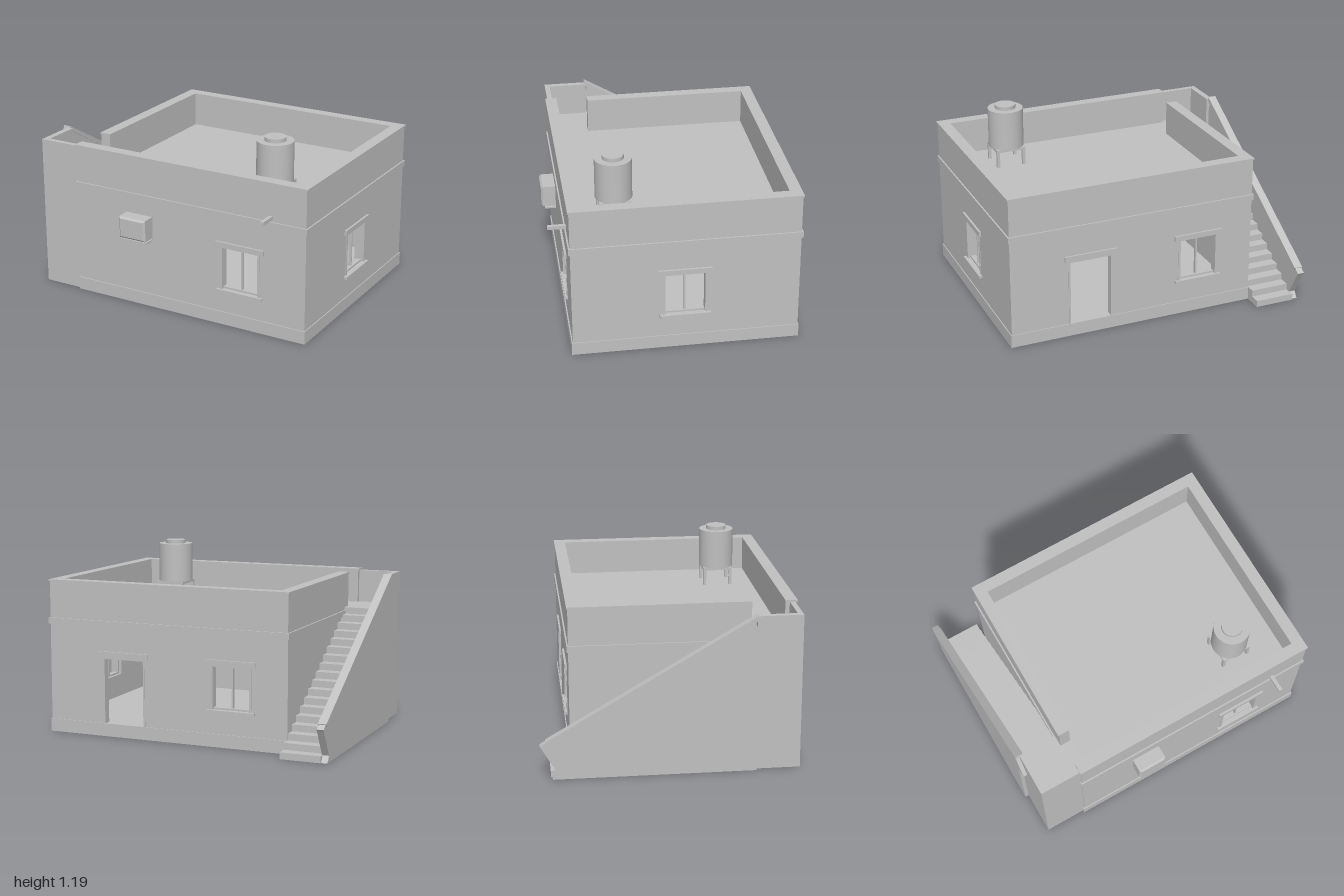
import * as THREE from 'three';

const plaster = new THREE.MeshStandardMaterial({ color: 0xc0c0c0 });
plaster.name = 'plaster';

export function createModel() {
  const model = new THREE.Group();
  model.name = 'flatRoofHouse';

  const add = (name, geometry, parent = model) => {
    const mesh = new THREE.Mesh(geometry, plaster);
    mesh.name = name;
    parent.add(mesh);
    return mesh;
  };
  // Box given by its limits on each axis
  const box = (name, x0, x1, y0, y1, z0, z1, parent) => {
    const mesh = add(name, new THREE.BoxGeometry(x1 - x0, y1 - y0, z1 - z0), parent);
    mesh.position.set((x0 + x1) / 2, (y0 + y1) / 2, (z0 + z1) / 2);
    return mesh;
  };
  const toShape = (points, holes = []) => {
    const shape = new THREE.Shape(points.map(p => new THREE.Vector2(...p)));
    for (const [a0, a1, b0, b1] of holes) {
      shape.holes.push(new THREE.Path([[a0, b0], [a0, b1], [a1, b1], [a1, b0]].map(p => new THREE.Vector2(...p))));
    }
    return shape;
  };
  // Wall outlined in (x, y), thick along z
  const wallXY = (name, points, z0, z1, holes) => {
    const g = new THREE.ExtrudeGeometry(toShape(points, holes), { depth: z1 - z0, bevelEnabled: false });
    return add(name, g.translate(0, 0, z0));
  };
  // Wall outlined in (z, y), thick along x
  const wallZY = (name, points, x0, x1, holes) => {
    const g = new THREE.ExtrudeGeometry(toShape(points, holes), { depth: x1 - x0, bevelEnabled: false });
    return add(name, g.rotateY(-Math.PI / 2).translate(x1, 0, 0));
  };
  const rect = (a0, a1, b0, b1) => [[a0, b0], [a1, b0], [a1, b1], [a0, b1]];

  // Main walls, carried up as the roof parapet
  const X0 = -0.69, X1 = 0.975, Z0 = -0.675, Z1 = 0.76, T = 0.07, ROOF = 0.78;
  wallXY('frontWall', rect(X0, X1, 0, 1), Z1 - T, Z1, [[0.38, 0.66, 0.24, 0.52]]);
  wallXY('backWall', rect(X0, X1, 0, 1), Z0, Z0 + T, [[-0.45, -0.17, 0.24, 0.52], [0.29, 0.59, 0.085, 0.52]]);
  wallZY('leftWall', rect(Z0 + T, Z1 - T, 0, 1), X1 - T, X1, [[-0.09, 0.19, 0.24, 0.52]]);
  wallZY('rightWall', [[Z0 + T, 0], [Z1 - T, 0], [Z1 - T, ROOF], [0.48, ROOF], [0.48, 1], [Z0 + T, 1]], X0, X0 + T);

  // Floor with plinth, roof slab and string course
  box('plinth', X0 - 0.008, X1 + 0.006, 0, 0.085, Z0 - 0.006, Z1 + 0.008);
  box('stringCourse', X0 - 0.01, X1 + 0.01, 0.72, 0.76, Z0 - 0.01, Z1 + 0.01);
  box('roofDeck', X0 + 0.03, X1 - 0.03, 0.76, ROOF, Z0 + 0.03, Z1 - 0.03);

  // Thin coping on the parapet, open at the landing
  const O = 0.007;
  box('frontCoping', X0 - O, X1 + O, 1, 1.012, Z1 - T - 0.001, Z1 + O);
  box('backCoping', X0 - O, X1 + O, 1, 1.012, Z0 - O, Z0 + T + 0.001);
  box('leftCoping', X1 - T - 0.001, X1 + O, 1, 1.012, Z0 + T, Z1 - T);
  box('rightCoping', X0 - O, X0 + T + 0.001, 1, 1.012, Z0 + T, 0.48);

  // Window unit, facing +z with its sill line at y = 0.24
  const addWindow = (name, x, z, turn, sillDepth) => {
    const g = new THREE.Group();
    g.name = name;
    box('lintel', -0.17, 0.17, 0.525, 0.56, -0.02, 0.014, g);
    box('sill', -0.162, 0.162, 0.223, 0.24, -0.05, sillDepth, g);
    for (const s of [-1, 1]) {
      box('jamb', s * 0.133 - 0.008, s * 0.133 + 0.008, 0.24, 0.525, -0.05, 0.004, g);
    }
    box('headRail', -0.13, 0.13, 0.51, 0.525, -0.05, -0.015, g);
    box('bottomRail', -0.13, 0.13, 0.24, 0.252, -0.05, -0.015, g);
    box('mullion', -0.005, 0.005, 0.25, 0.512, -0.045, -0.025, g);
    g.position.set(x, 0, z);
    g.rotation.y = turn;
    model.add(g);
  };
  addWindow('frontWindow', 0.52, Z1, 0, 0.018);
  addWindow('leftWindow', X1, 0.05, Math.PI / 2, 0.022);
  addWindow('backWindow', -0.31, Z0, Math.PI, 0.018);

  // Open doorway at the back
  box('doorLintel', 0.265, 0.615, 0.525, 0.56, Z0 - 0.012, Z0 + 0.02);
  for (const x of [0.29, 0.578]) box('doorJamb', x, x + 0.012, 0.085, 0.525, Z0 - 0.004, Z0 + 0.05);
  box('doorHead', 0.29, 0.59, 0.512, 0.525, Z0 - 0.004, Z0 + 0.05);

  // Outside stair
  const STEPS = 17, S0 = -0.81, S1 = 0.40, run = (S1 - S0) / STEPS, rise = ROOF / (STEPS + 1);
  for (let i = 0; i < STEPS; i++) {
    box('step', -0.955, X0, 0, rise * (i + 1), S0 + run * i, S0 + run * (i + 1));
  }

  // Landing and its parapet
  box('landing', -0.935, X0 + 0.02, 0, ROOF, S1, 0.725);
  box('landingFrontWall', -0.97, X0, 0, 1, 0.718, 0.752);
  box('landingSideWall', -0.97, -0.93, 0, 1, 0.465, 0.718);

  // Stair side wall, sloped balustrade and handrail
  wallZY('stairSideWall', [[-0.8, 0], [0.47, 0], [0.47, 0.748], [-0.77, 0.042]], -0.995, -0.95);
  wallZY('balustrade', [[-0.77, 0.042], [0.545, 0.79], [0.445, 0.968], [-0.868, 0.212]], -0.995, -0.95);
  wallZY('handrail', [[-0.83, 0.235], [0.475, 0.985], [0.468, 1.012], [-0.84, 0.25]], -1, -0.945);
  wallZY('handrailEnd', [[-0.868, 0.212], [-0.82, 0.24], [-0.83, 0.25], [-0.875, 0.222]], -0.995, -0.95);

  // Wall-hung cooling unit with chamfered front, on a bracket
  const unit = new THREE.ExtrudeGeometry(toShape(rect(-0.30, -0.13, 0.49, 0.61)), {
    depth: 0.085, bevelSize: 0.012, bevelThickness: 0.012, bevelSegments: 1,
  });
  add('coolingUnit', unit.translate(0, 0, 0.76));
  box('coolingBracket', -0.31, -0.12, 0.458, 0.468, 0.755, 0.835);

  // Rain spout
  box('rainSpout', 0.722, 0.747, 0.775, 0.797, 0.74, 0.875);

  // Water tank on a legged stand
  const tank = new THREE.Group();
  tank.name = 'waterTank';
  tank.position.set(0.592, 0, 0.445);
  model.add(tank);
  add('tankBody', new THREE.CylinderGeometry(0.118, 0.118, 0.265, 32), tank).position.y = 1.033;
  add('tankLid', new THREE.CylinderGeometry(0.069, 0.069, 0.025, 32), tank).position.y = 1.178;
  box('standTop', -0.1, 0.1, 0.885, 0.902, -0.1, 0.1, tank);
  for (const x of [-0.09, 0.09]) {
    for (const z of [-0.09, 0.09]) box('standLeg', x - 0.01, x + 0.01, ROOF, 0.89, z - 0.01, z + 0.01, tank);
  }
  return model;
}
